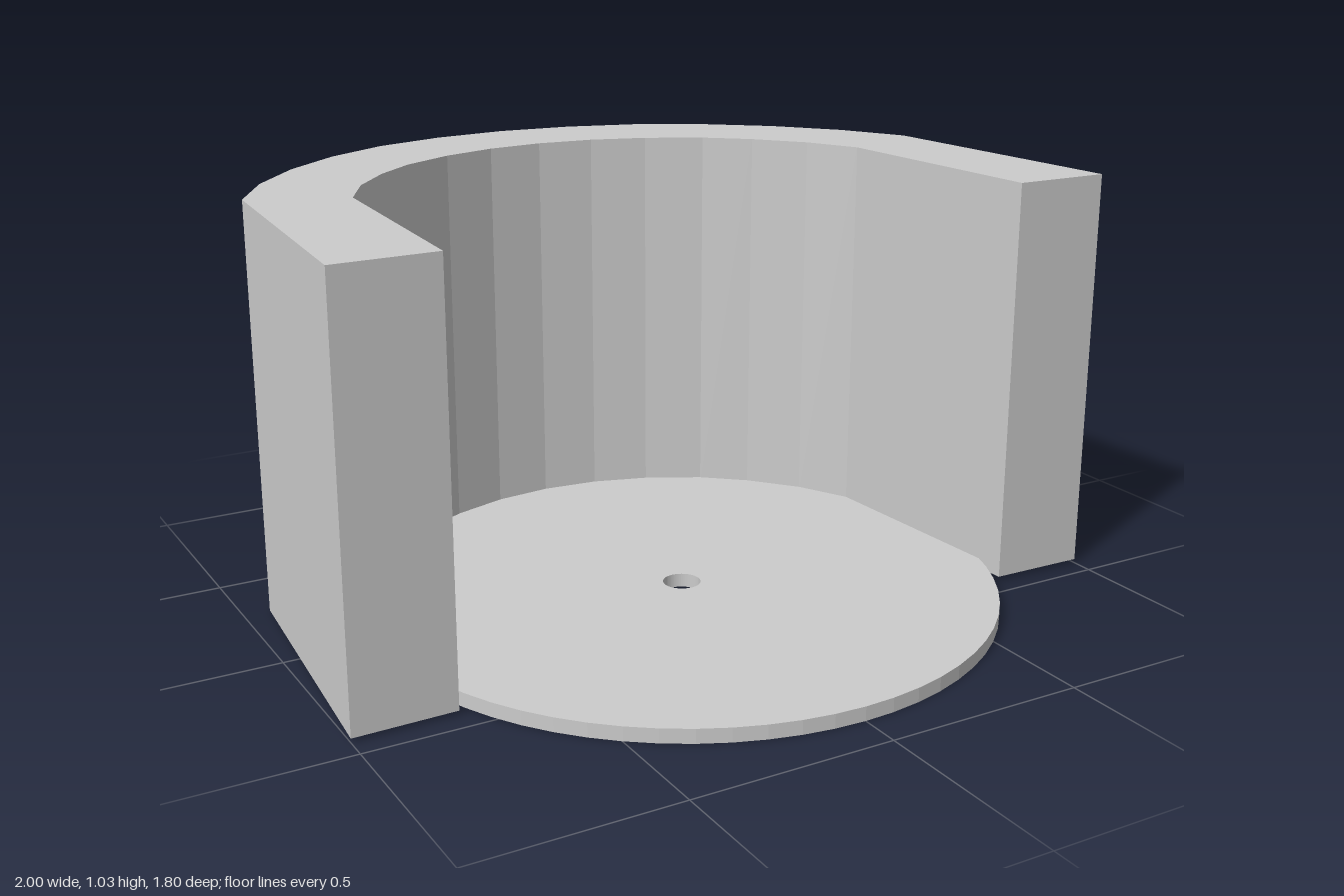
import * as THREE from 'three';

const BOTTOM = 0.01, TOP = 1.03;

// Half plans (x, z) from the front tip to the middle of the back
const outerHalf = [[1, 0.445], [0.94, -0.28], [0.845, -0.45], [0.715, -0.605], [0.56, -0.735], [0.39, -0.83], [0.2, -0.885], [0, -0.905]];
const innerHalf = [[0.75, 0.44], [0.71, -0.18], [0.64, -0.315], [0.54, -0.435], [0.435, -0.525], [0.295, -0.6], [0.15, -0.645], [0, -0.66]];

const mirror = (half) => [...half, ...half.slice(0, -1).reverse().map(([x, z]) => [-x, z])];

// Upright sheet following a plan line
function upright(points) {
  const pos = [];
  for (let i = 0; i < points.length - 1; i++) {
    const [ax, az] = points[i], [bx, bz] = points[i + 1];
    pos.push(ax, BOTTOM, az, bx, BOTTOM, bz, bx, TOP, bz);
    pos.push(ax, BOTTOM, az, bx, TOP, bz, ax, TOP, az);
  }
  const geometry = new THREE.BufferGeometry();
  geometry.setAttribute('position', new THREE.Float32BufferAttribute(pos, 3));
  geometry.computeVertexNormals();
  return geometry;
}

export function createModel() {
  const group = new THREE.Group();
  const solid = new THREE.MeshStandardMaterial({ color: 0xcccccc, flatShading: true });
  const sheet = new THREE.MeshStandardMaterial({ color: 0xcccccc, flatShading: true, side: THREE.DoubleSide });
  const add = (name, geometry, material) => {
    const mesh = new THREE.Mesh(geometry, material);
    mesh.name = name;
    group.add(mesh);
    return mesh;
  };

  // Hollow horseshoe wall, open underneath
  const outer = mirror(outerHalf);
  const inner = mirror(innerHalf).reverse();
  add('outerWall', upright(outer), sheet);
  add('innerWall', upright(inner), sheet);
  add('leftEnd', upright([inner[inner.length - 1], outer[0]]), sheet);
  add('rightEnd', upright([outer[outer.length - 1], inner[0]]), sheet);

  // Flat rim closing the top
  const plan = new THREE.Shape([...outer, ...inner].map(([x, z]) => new THREE.Vector2(x, -z)));
  add('topRim', new THREE.ShapeGeometry(plan).rotateX(-Math.PI / 2), sheet).position.y = TOP;

  // Two partitions inside the hollow wall
  for (const side of [1, -1]) {
    const rib = [outerHalf[4], innerHalf[4]].map(([x, z]) => [side * x, z]);
    add(side > 0 ? 'leftPartition' : 'rightPartition', upright(rib), sheet);
  }

  // Round base plate with a centre hole
  const disc = new THREE.Shape().absarc(0, 0, 0.787, 0, Math.PI * 2, false);
  disc.holes.push(new THREE.Path().absarc(0, 0, 0.047, 0, Math.PI * 2, true));
  const plate = new THREE.ExtrudeGeometry(disc, { depth: 0.035, bevelEnabled: false, curveSegments: 32 });
  add('basePlate', plate.rotateX(-Math.PI / 2), solid).position.z = 0.113;

  return group;
}
